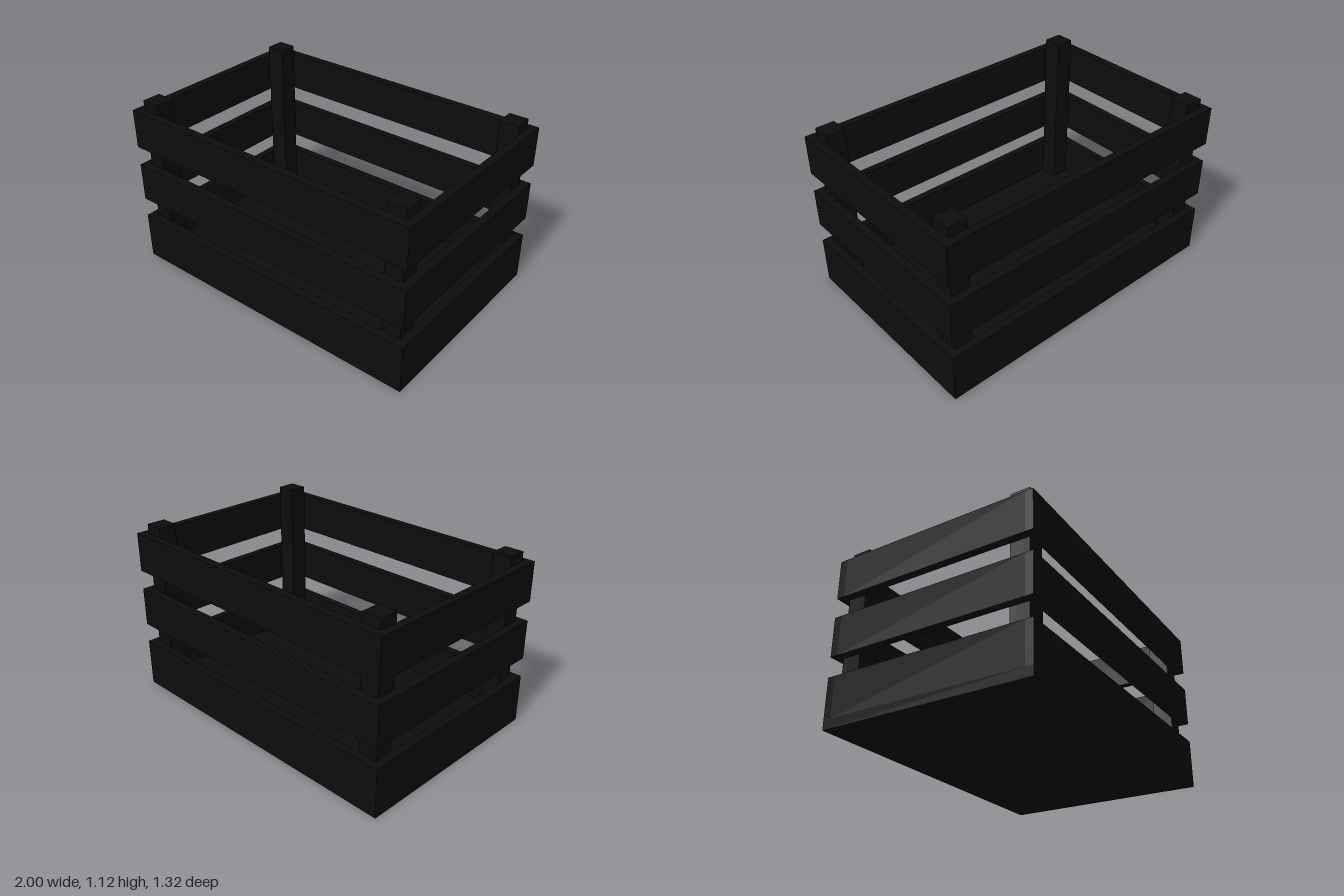
import * as THREE from 'three';

export function createModel() {
  const crate = new THREE.Group();
  crate.name = 'slattedCrate';
  const blackWood = new THREE.MeshStandardMaterial({ color: 0x0d0d0d });
  blackWood.name = 'blackWood';

  const W = 2, D = 1.32;      // outer width and depth
  const T = 0.05;             // slat thickness
  const FLOOR = 0.06, SLAT = 0.25, STEP = 0.375;
  const POST = 0.12, TOP = 1.12;

  // Box standing on height y
  function board(name, w, h, d, x, y, z) {
    const mesh = new THREE.Mesh(new THREE.BoxGeometry(w, h, d), blackWood);
    mesh.name = name;
    mesh.position.set(x, y + h / 2, z);
    crate.add(mesh);
  }

  // Solid floor panel
  board('floor', W, FLOOR, D, 0, 0, 0);

  // Three rows of slats; the end slats fit between the long ones
  for (let row = 0; row < 3; row++) {
    const y = FLOOR + row * STEP;
    for (const s of [1, -1]) {
      board(s > 0 ? 'frontSlat' : 'backSlat', W, SLAT, T, 0, y, s * (D - T) / 2);
      board(s > 0 ? 'leftSlat' : 'rightSlat', T, SLAT, D - 2 * T, s * (W - T) / 2, y, 0);
    }
  }

  // Corner posts inside the slats, standing slightly proud of the top
  for (const sx of [1, -1]) {
    for (const sz of [1, -1]) {
      const name = (sz > 0 ? 'front' : 'back') + (sx > 0 ? 'Left' : 'Right') + 'Post';
      board(name, POST, TOP - FLOOR, POST,
        sx * (W / 2 - T - POST / 2), FLOOR, sz * (D / 2 - T - POST / 2));
    }
  }
  return crate;
}
